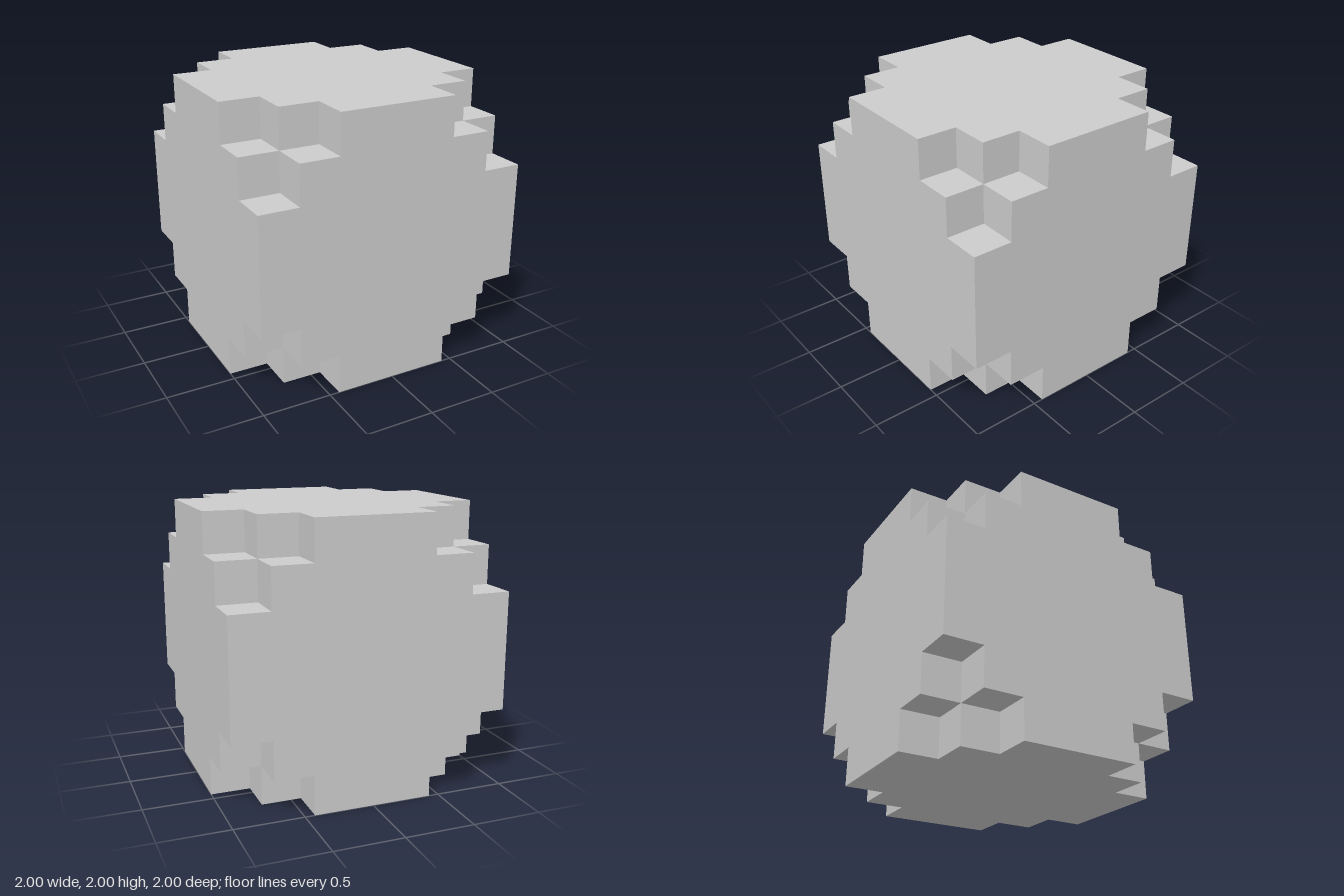
import * as THREE from 'three';
import { mergeGeometries } from 'three/addons/utils/BufferGeometryUtils.js';

const U = 2 / 7;               // one block: the cube is 7 blocks wide
const A = 1 - U, B = 1 - 2 * U; // first and second block lines from an edge

// Repeats a set of points around the four corners of a square
const turn = ([x, y], k) => [[x, y], [-y, x], [-x, -y], [y, -x]][k];
const polygon = (points) => new THREE.Shape(points.map(([x, y]) => new THREE.Vector2(x, y)));

function cornerSquares(x, y) {
  return [0, 1, 2, 3].map((k) =>
    polygon([[x, y], [x + U, y], [x + U, y + U], [x, y + U]].map((p) => turn(p, k))));
}

// One side of the cube, facing +z: stepped panel plus the ledges inside the corner notches
function sideGeometry() {
  const steps = [[1, B], [A, B], [A, A], [B, A], [B, 1]];
  const panel = polygon([0, 1, 2, 3].flatMap((k) => steps.map((p) => turn(p, k))));
  const levels = [
    [panel],
    [...cornerSquares(B, A), ...cornerSquares(A, B)], // one block deep
    cornerSquares(A, A),                              // two blocks deep
  ];
  return mergeGeometries(levels.map((shapes, depth) =>
    new THREE.ShapeGeometry(shapes).translate(0, 0, 1 - depth * U)));
}

export function createModel() {
  const model = new THREE.Group();
  model.name = 'notchedCube';
  const material = new THREE.MeshStandardMaterial({ color: 0xcccccc, flatShading: true });
  const geometry = sideGeometry();

  // Six identical sides turned outward
  const q = Math.PI / 2;
  const sides = {
    frontSide: [0, 0], leftSide: [0, q], backSide: [0, 2 * q],
    rightSide: [0, -q], topSide: [-q, 0], bottomSide: [q, 0],
  };
  for (const [name, [rx, ry]] of Object.entries(sides)) {
    const side = new THREE.Mesh(geometry, material);
    side.name = name;
    side.rotation.set(rx, ry, 0);
    side.position.y = 1;
    model.add(side);
  }
  return model;
}
